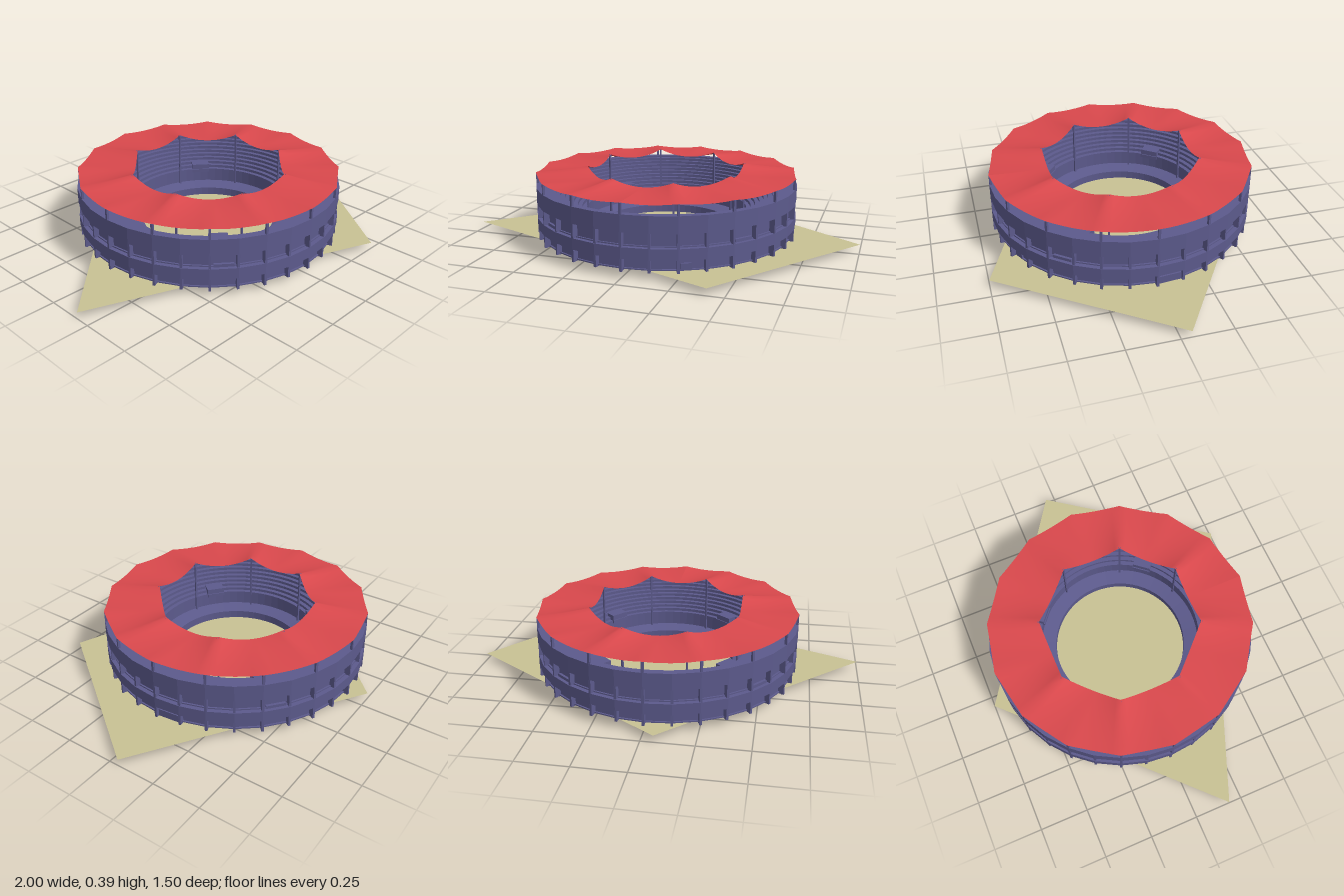
import * as THREE from 'three';

const TAU = Math.PI * 2;
const mat = (color, extra = {}) =>
  new THREE.MeshStandardMaterial({ color, side: THREE.DoubleSide, ...extra });
const wallMat = mat(0x5c5a8c, { flatShading: true });
const roofMat = mat(0xd9484c);
const groundMat = mat(0xc8c294);

export function createModel() {
  const model = new THREE.Group();

  const add = (name, geometry, material = wallMat) => {
    const mesh = new THREE.Mesh(geometry, material);
    mesh.name = name;
    model.add(mesh);
    return mesh;
  };
  const ring = (name, points, segments) =>
    add(name, new THREE.LatheGeometry(points.map(([r, y]) => new THREE.Vector2(r, y)), segments));
  // box placed at an angle measured from +z, its depth pointing outwards
  const radialBox = (name, angle, r, y0, y1, width, depth) => {
    const mesh = add(name, new THREE.BoxGeometry(width, y1 - y0, depth));
    mesh.position.set(Math.sin(angle) * r, (y0 + y1) / 2, Math.cos(angle) * r);
    mesh.rotation.y = angle;
    return mesh;
  };

  // Ground: four-cornered plot
  const plot = new THREE.Shape([[-1, -0.18], [0.42, -0.75], [1, 0.05], [-0.06, 0.75]]
    .map(([x, y]) => new THREE.Vector2(x, y)));
  const ground = new THREE.ShapeGeometry(plot);
  ground.rotateX(-Math.PI / 2);
  ground.translate(0, 0.034, 0);
  add('ground', ground, groundMat);

  // Bowl: underside, inner barrier and walkway, then stepped seating
  ring('bowlUnderside', [[0.345, 0.036], [0.37, 0.003], [0.38, 0], [0.46, 0],
    [0.51, 0.012], [0.55, 0.036], [0.645, 0.04]], 64);
  ring('innerBarrier', [[0.345, 0.03], [0.345, 0.075], [0.42, 0.09], [0.42, 0.147]], 64);
  const steps = [];
  const rows = 10;
  for (let i = 0; i < rows; i++) {
    const r = 0.42 + 0.022 * i, y = 0.147 + 0.0145 * i;
    steps.push([r, y], [r, y + 0.0145], [r + 0.022, y + 0.0145]);
  }
  ring('seatingRows', steps, 64);

  // Facade: recessed wall with two projecting bands
  ring('recessedWall', [[0.645, 0.04], [0.645, 0.292]], 32);
  const band = (name, y0, y1) =>
    ring(name, [[0.645, y0], [0.675, y0], [0.675, y1], [0.64, y1], [0.64, y0]], 32);
  band('lowerBand', 0.095, 0.15);
  band('upperBand', 0.22, 0.302);

  // Window frames and columns in every bay
  for (let i = 0; i < 32; i++) {
    const a = (i / 32) * TAU;
    radialBox('facadeColumn', a, 0.657, 0.035, 0.25, 0.012, 0.028);
    const mid = a + TAU / 64;
    for (const [y0, y1] of [[0.04, 0.095], [0.15, 0.22]]) {
      radialBox('windowSill', mid, 0.645, y0, y0 + 0.006, 0.122, 0.01);
      radialBox('windowLintel', mid, 0.645, y1 - 0.006, y1, 0.122, 0.01);
    }
  }

  // Roof posts: sixteen outside, eight at the inner corners
  for (let i = 0; i < 16; i++) {
    radialBox('outerRoofPost', (i / 16) * TAU, 0.668, 0.033, 0.355, 0.012, 0.012);
  }
  const innerR = 0.408;
  for (let i = 0; i < 8; i++) {
    radialBox('innerRoofPost', ((i + 0.5) / 8) * TAU, innerR + 0.004, 0.08, 0.384, 0.009, 0.009);
  }

  // Entrance tunnels through the stands, and ground-level gates
  for (let i = 0; i < 4; i++) {
    const a = 0.885 + (i / 4) * TAU;
    radialBox('entranceTunnel', a, 0.53, 0.147, 0.165, 0.095, 0.25);
    radialBox('tunnelMouth', a, 0.445, 0.15, 0.192, 0.095, 0.07);
  }
  radialBox('mainGate', 1.67, 0.642, 0.037, 0.075, 0.115, 0.03);
  radialBox('sideGate', 0.45, 0.642, 0.042, 0.075, 0.05, 0.02);

  // Canopy roof: inner octagon and outer sixteen-sided edge, both sagging between posts
  const across = 96, deep = 6;
  const onPolygon = (t, sides, offset, radius) => {
    const s = t * sides - offset, k = Math.floor(s), f = s - k;
    const a0 = ((k + offset) / sides) * TAU, a1 = ((k + 1 + offset) / sides) * TAU;
    return {
      x: radius * THREE.MathUtils.lerp(Math.sin(a0), Math.sin(a1), f),
      z: radius * THREE.MathUtils.lerp(Math.cos(a0), Math.cos(a1), f),
      sag: 4 * f * (1 - f),
    };
  };
  const positions = [], index = [];
  for (let i = 0; i <= across; i++) {
    const t = i / across;
    const p = onPolygon(t, 8, 0.5, innerR), q = onPolygon(t, 16, 0, 0.675);
    const yIn = 0.386 - 0.032 * p.sag, yOut = 0.357 - 0.009 * q.sag;
    for (let j = 0; j <= deep; j++) {
      const f = j / deep;
      positions.push(THREE.MathUtils.lerp(p.x, q.x, f),
        THREE.MathUtils.lerp(yIn, yOut, f) - 0.004 * Math.sin(f * Math.PI),
        THREE.MathUtils.lerp(p.z, q.z, f));
      if (i < across && j < deep) {
        const a = i * (deep + 1) + j, b = a + deep + 1;
        index.push(a, a + 1, b, b, a + 1, b + 1);
      }
    }
  }
  const canopy = new THREE.BufferGeometry();
  canopy.setAttribute('position', new THREE.Float32BufferAttribute(positions, 3));
  canopy.setIndex(index);
  canopy.computeVertexNormals();
  add('canopyRoof', canopy, roofMat);

  return model;
}
